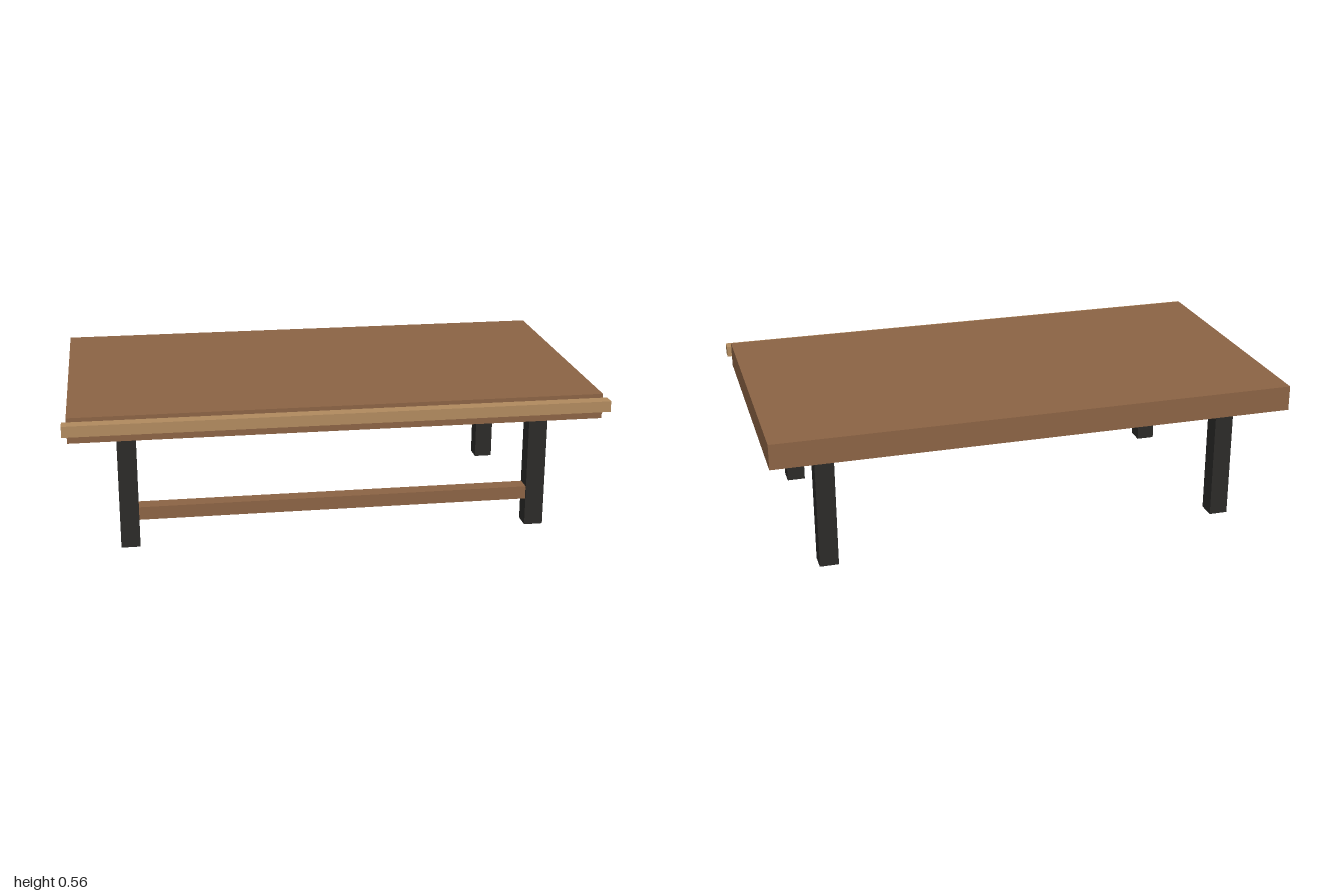
import * as THREE from 'three';

const wood = new THREE.MeshStandardMaterial({ color: 0x8b6344 });
const paleWood = new THREE.MeshStandardMaterial({ color: 0xb08a5e });
const darkMetal = new THREE.MeshStandardMaterial({ color: 0x2b2a28 });

// Box given by its size and the centre of its underside
function addBox(parent, name, material, [w, h, d], [x, y, z]) {
  const mesh = new THREE.Mesh(new THREE.BoxGeometry(w, h, d), material);
  mesh.name = name;
  mesh.position.set(x, y + h / 2, z);
  parent.add(mesh);
}

export function createModel() {
  const group = new THREE.Group();
  group.name = 'table';
  const topZ = -0.023; // top and legs sit slightly behind centre
  const legX = 0.775, legSpread = 0.389, legSize = 0.071, legHeight = 0.461;

  // Thick top with a longer pale rail along its front edge
  addBox(group, 'tableTop', wood, [1.966, 0.095, 1.076], [0, legHeight, topZ]);
  addBox(group, 'frontRail', paleWood, [2, 0.041, 0.047], [0, 0.5, 0.5385]);

  // Four square legs
  for (const sx of [-1, 1]) {
    for (const sz of [-1, 1]) {
      const name = `${sz > 0 ? 'front' : 'back'}${sx > 0 ? 'Left' : 'Right'}Leg`;
      addBox(group, name, darkMetal, [legSize, legHeight, legSize],
        [sx * legX, 0, topZ + sz * legSpread]);
    }
  }

  // Stretcher between the front legs
  addBox(group, 'frontStretcher', wood, [2 * legX - legSize, 0.05, 0.06],
    [0, 0.106, topZ + legSpread]);

  return group;
}
